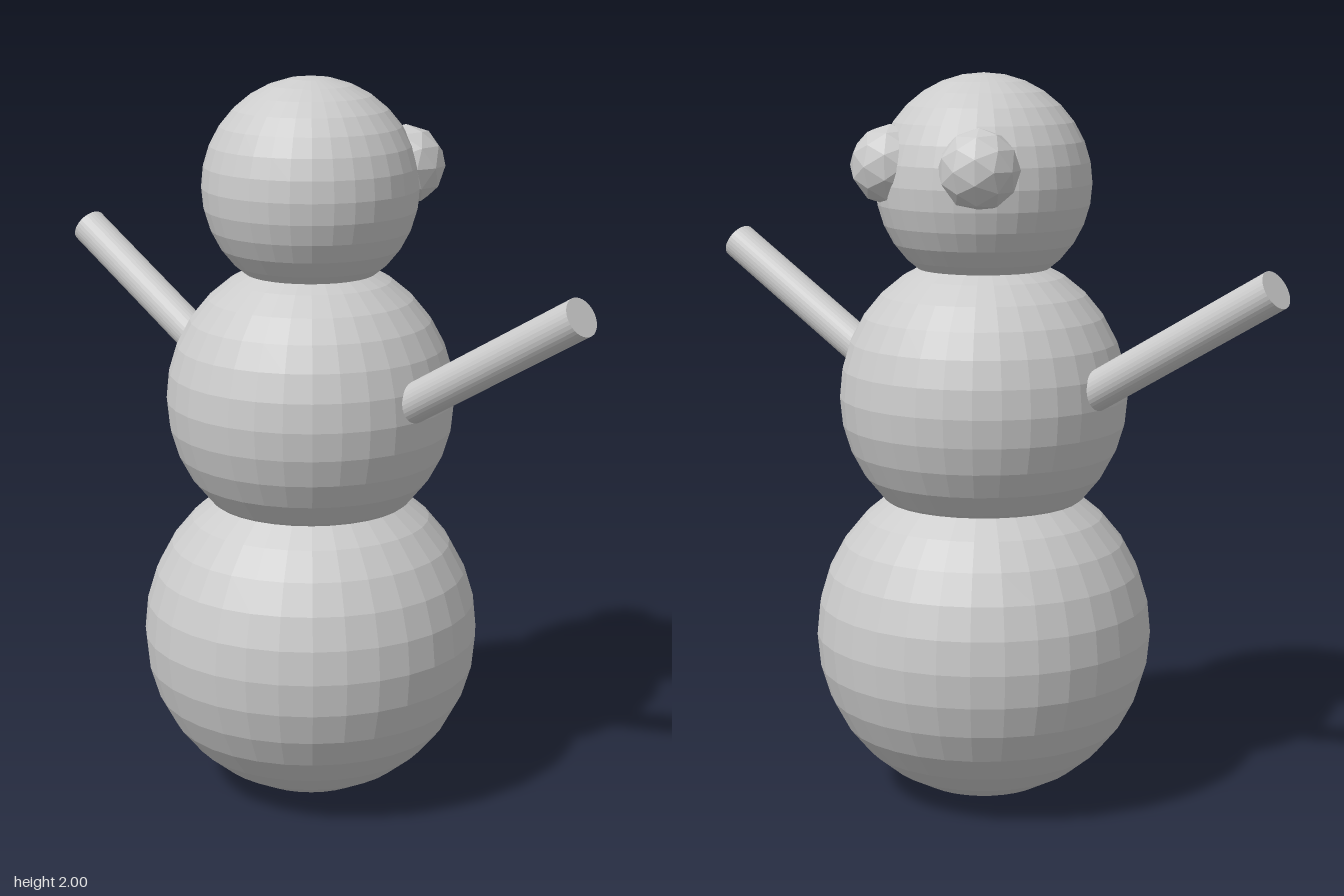
import * as THREE from 'three';

const material = new THREE.MeshStandardMaterial({ color: 0xcccccc, flatShading: true });

export function createModel() {
  const group = new THREE.Group();
  const add = (name, geometry, x, y, z) => {
    const mesh = new THREE.Mesh(geometry, material);
    mesh.name = name;
    mesh.position.set(x, y, z);
    group.add(mesh);
    return mesh;
  };

  // Three stacked snowballs: name, radius, centre height
  for (const [name, radius, y] of [
    ['lowerBody', 0.463, 0.467],
    ['upperBody', 0.393, 1.13],
    ['head', 0.292, 1.708],
  ]) add(name, new THREE.SphereGeometry(radius, 32, 16), 0, y, 0);

  // Arms sloping up at 30 degrees, and faceted eyes on the head
  const tilt = Math.PI / 6, tip = new THREE.Vector2(0.915, 1.49), length = 0.74;
  for (const [side, s] of [['left', 1], ['right', -1]]) {
    const x = tip.x - Math.cos(tilt) * length / 2;
    const y = tip.y - Math.sin(tilt) * length / 2;
    const arm = add(side + 'Arm', new THREE.CylinderGeometry(0.052, 0.052, length, 32), s * x, y, 0);
    arm.rotation.z = -s * (Math.PI / 2 - tilt);

    add(side + 'Eye', new THREE.IcosahedronGeometry(0.108, 1), s * 0.15, 1.76, -0.21);
  }
  return group;
}
